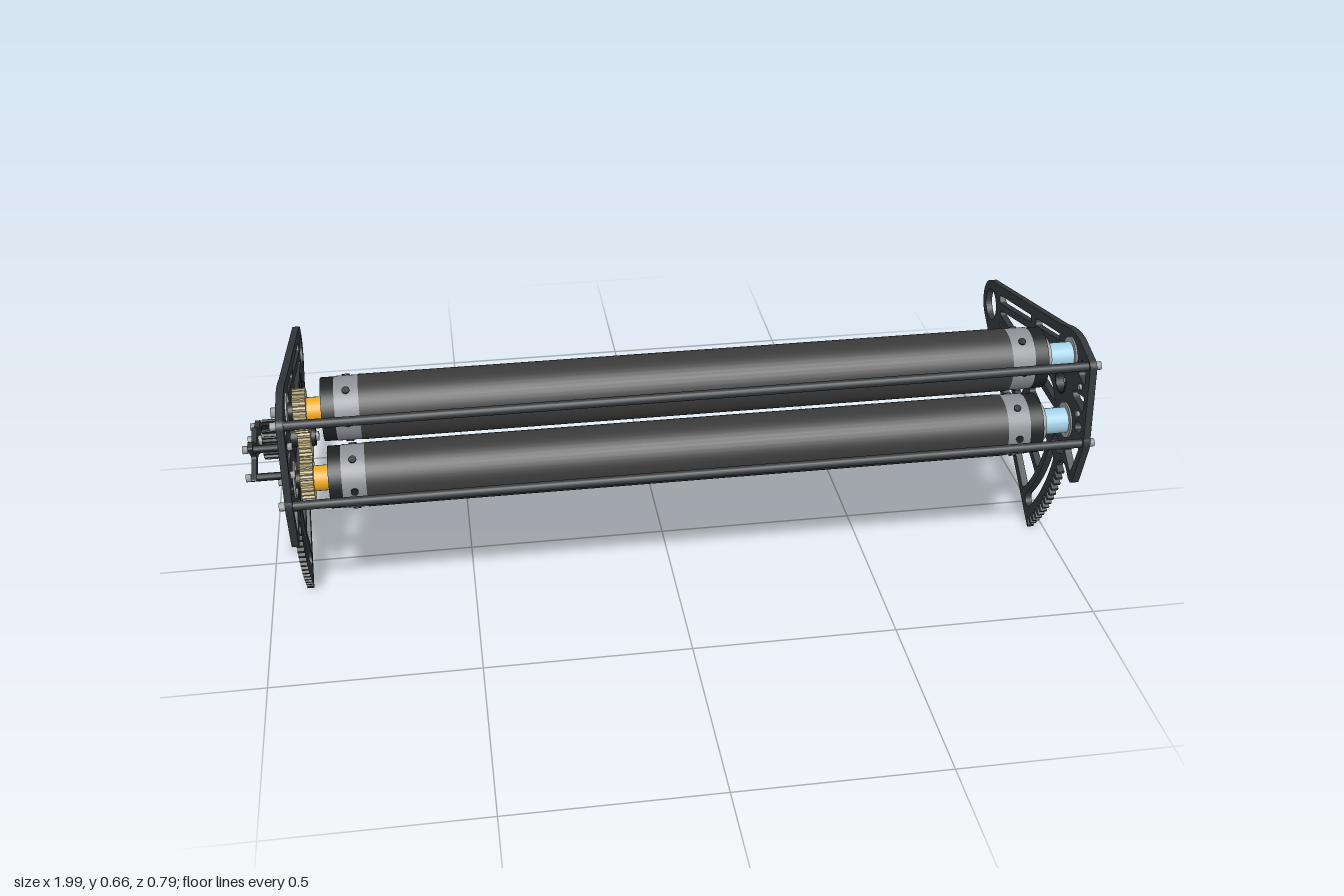
import * as THREE from 'three';

// Plate outlines are drawn in small units (475 per model unit): u runs backward, v runs up.
const S = 1 / 475;
const Z0 = -0.0025;
const RAD = Math.PI / 180;
const UPPER = [-120, 280], LOWER = [-130, 199], IDLER = [-101, 236], HUB = [155, 206];
const RODS = [[-170, 292], [-181, 198]];
const POSTS = [[-160, 260], [-164, 227], [-65, 232]];

const mat = (color) => new THREE.MeshStandardMaterial({ color });
const M = {
  plate: mat(0x33373a), rubber: mat(0x3a3a3a), black: mat(0x1f2122), collar: mat(0x8e8f96),
  steel: mat(0x9a9c9e), brass: mat(0xc0b184), cream: mat(0xd6cdb0), blue: mat(0xa3cfe6), orange: mat(0xf0a820),
};

export function createModel() {
  const model = new THREE.Group();

  function add(parent, name, geo, material) {
    const mesh = new THREE.Mesh(geo, material);
    mesh.name = name;
    parent.add(mesh);
    return mesh;
  }

  // Cylinder along x at a drawing point
  function bar(parent, name, x0, x1, r, [u, v], material, sides = 24) {
    const geo = new THREE.CylinderGeometry(r, r, x1 - x0, sides).rotateZ(Math.PI / 2);
    add(parent, name, geo, material).position.set((x0 + x1) / 2, v * S, Z0 - u * S);
  }

  // Extrude a drawing shape between two x positions
  function slab(parent, name, shape, x0, x1, material) {
    const geo = new THREE.ExtrudeGeometry(shape, { depth: (x1 - x0) / S, bevelEnabled: false, curveSegments: 20 });
    geo.scale(S, S, S).rotateY(Math.PI / 2).translate(x0, 0, Z0);
    add(parent, name, geo, material);
  }

  // Closed polygon with rounded corners
  function rounded(points, r, target = new THREE.Path()) {
    const p = points.map(([x, y]) => new THREE.Vector2(x, y));
    p.forEach((c, i) => {
      const toward = (q) => c.clone().lerp(q, Math.min(0.45, r / c.distanceTo(q)));
      const a = toward(p[(i + p.length - 1) % p.length]), b = toward(p[(i + 1) % p.length]);
      if (i === 0) target.moveTo(a.x, a.y); else target.lineTo(a.x, a.y);
      target.quadraticCurveTo(c.x, c.y, b.x, b.y);
    });
    target.closePath();
    return target;
  }

  function circle([u, v], r, target = new THREE.Path()) {
    target.absarc(u, v, r, 0, Math.PI * 2);
    return target;
  }

  function ring(parent, name, x0, x1, rOuter, rInner, c, material) {
    const shape = circle(c, rOuter / S, new THREE.Shape());
    shape.holes.push(circle(c, rInner / S));
    slab(parent, name, shape, x0, x1, material);
  }

  // Toothed wheel
  function gear(parent, name, x0, x1, r, teeth, [u, v], bore, material) {
    const shape = new THREE.Shape();
    for (let i = 0; i < teeth; i++) {
      [[-0.25, 0.9], [-0.12, 1.06], [0.12, 1.06], [0.25, 0.9]].forEach(([k, f], j) => {
        const a = ((i + k) / teeth) * Math.PI * 2, R = (r * f) / S;
        shape[i + j === 0 ? 'moveTo' : 'lineTo'](u + R * Math.cos(a), v + R * Math.sin(a));
      });
    }
    shape.closePath();
    shape.holes.push(circle([u, v], bore / S));
    slab(parent, name, shape, x0, x1, material);
  }

  // Window between two spokes (angle, offset from hub centre, half width) and two radii
  function sectorWindow([t0, d0, h0], [t1, d1, h1], rIn, rOut) {
    const arc = (r) => [0, 0.33, 0.67, 1].map((k) => {
      const a = t0 * RAD + Math.asin((d0 + h0) / r), b = t1 * RAD + Math.asin((d1 - h1) / r);
      const t = a + (b - a) * k;
      return [HUB[0] - r * Math.cos(t), HUB[1] - r * Math.sin(t)];
    });
    const inner = arc(rIn);
    return rounded([...arc(rOut), inner[3], inner[0]], 4);
  }

  // Side plate: sector with rack teeth, spokes, slot and bearing holes
  function plateShape() {
    const s = new THREE.Path();
    const teeth = 14, from = 224 * RAD, to = 194.5 * RAD;
    s.moveTo(-58, 0);
    for (let i = 0; i < teeth; i++) {
      for (const [k, r] of [[0.1, 295], [0.43, 295], [0.62, 286], [0.92, 286]]) {
        const a = from + ((to - from) * (i + k)) / teeth;
        s.lineTo(HUB[0] + r * Math.cos(a), HUB[1] + r * Math.sin(a));
      }
    }
    s.lineTo(-127, 141);
    s.quadraticCurveTo(-142, 154, -156, 139);
    s.quadraticCurveTo(-168, 130, -173, 143);
    s.lineTo(-188, 194);
    s.quadraticCurveTo(-190, 200, -187, 206);
    s.lineTo(-178, 291);
    s.quadraticCurveTo(-177, 298, -170, 300);
    s.lineTo(-140, 308);
    s.quadraticCurveTo(-118, 313, -82, 299);
    s.absarc(HUB[0], HUB[1], 31, 75.6 * RAD, -52.2 * RAD, true);
    s.closePath();
    // Counter-clockwise outline, so that the window walls face into the windows
    const shape = new THREE.Shape(s.getPoints(20).reverse());

    // Rims and spokes from top to bottom; the curved rib lies between radii 151 and 168
    const spokes = [[-14.4, -25, 5.7], [-15, -4, 4.5], [1.8, 0, 4.7], [12.5, 5.3, 4.8], [26.3, 10.2, 5], [37.8, 25.5, 5.5]];
    for (let i = 0; i < spokes.length - 1; i++) {
      shape.holes.push(sectorWindow(spokes[i], spokes[i + 1], 38, 151));
      if (i !== 1) shape.holes.push(sectorWindow(spokes[i], spokes[i + 1], 168, 248));
    }
    const bracedBay = [
      [[-80, 262], [-29, 253], [-58, 241], [-76, 246]],
      [[-9, 247], [-47, 231], [-14, 210]],
      [[-80, 217], [-60, 223], [-29, 205], [-93, 202]],
    ];
    const frontFrame = [
      [[-167, 281], [-151, 292], [-148, 271], [-158, 267], [-169, 266]],
      [[-172, 253], [-162, 250], [-142, 246], [-138, 241], [-144, 236], [-160, 236], [-174, 232]],
      [[-178, 216], [-166, 220], [-157, 211], [-160, 204], [-174, 206]],
      [[-177, 188], [-161, 189], [-150, 172], [-138, 164], [-162, 146]],
      [[-137, 158], [-104, 166], [-97, 150], [-120, 147]],
    ];
    [...bracedBay, ...frontFrame].forEach((w) => shape.holes.push(rounded(w, 4)));

    // Curved guide slot
    const slot = new THREE.Path(), a0 = 196.5 * RAD, a1 = 220 * RAD, mid = 266, w = 9;
    const end = (a) => [HUB[0] + mid * Math.cos(a), HUB[1] + mid * Math.sin(a)];
    slot.absarc(...HUB, mid + w, a0, a1, false);
    slot.absarc(...end(a1), w, a1, a1 + Math.PI, false);
    slot.absarc(...HUB, mid - w, a1, a0, true);
    slot.absarc(...end(a0), w, a0 + Math.PI, a0 + 2 * Math.PI, false);
    slot.closePath();
    shape.holes.push(slot);

    [[HUB, 20], [UPPER, 21], [LOWER, 21], [IDLER, 15]].forEach(([c, r]) => shape.holes.push(circle(c, r)));
    return shape;
  }

  const plate = plateShape();
  slab(model, 'leftSidePlate', plate, 0.959, 0.976, M.plate);
  slab(model, 'rightSidePlate', plate, -0.918, -0.901, M.plate);

  // Two rollers with collars, shafts, bearings and drive gears
  [['upperRoller', UPPER], ['lowerRoller', LOWER]].forEach(([name, c]) => {
    const g = new THREE.Group();
    g.name = name;
    model.add(g);
    bar(g, 'rollerSleeve', -0.735, 0.79, 0.075, c, M.rubber, 48);
    for (const [x0, x1] of [[-0.79, -0.735], [0.79, 0.845]]) {
      bar(g, 'collar', x0, x1, 0.074, c, M.collar, 48);
      for (let i = 0; i < 6; i++) {
        const a = (i * Math.PI) / 3 + 0.5;
        const screw = add(g, 'collarScrew', new THREE.CylinderGeometry(0.009, 0.009, 0.006, 12), M.black);
        screw.position.set((x0 + x1) / 2, c[1] * S + 0.074 * Math.cos(a), Z0 - c[0] * S + 0.074 * Math.sin(a));
        screw.rotation.x = a;
      }
    }
    bar(g, 'endCap', -0.82, -0.79, 0.073, c, M.black, 48);
    bar(g, 'endCap', 0.845, 0.878, 0.073, c, M.black, 48);
    // Left end: spacer, shaft and bearing
    bar(g, 'spacer', 0.878, 0.895, 0.046, c, M.steel);
    bar(g, 'shaftSleeve', 0.895, 0.955, 0.032, c, M.blue);
    ring(g, 'bearingOuter', 0.955, 0.978, 0.044, 0.033, c, M.steel);
    ring(g, 'bearingInner', 0.955, 0.977, 0.033, 0.021, c, M.cream);
    bar(g, 'bearingHub', 0.955, 0.982, 0.021, c, M.black);
    bar(g, 'shaftBolt', 0.982, 0.993, 0.012, c, M.steel, 6);
    // Right end: shaft, gear and bearing
    bar(g, 'driveSleeve', -0.86, -0.82, 0.03, c, M.orange);
    gear(g, 'driveGear', -0.885, -0.855, 0.049, 24, c, 0.02, M.brass);
    ring(g, 'bearingOuter', -0.92, -0.897, 0.044, 0.033, c, M.steel);
    ring(g, 'bearingInner', -0.919, -0.897, 0.033, 0.021, c, M.cream);
    bar(g, 'bearingHub', -0.925, -0.86, 0.021, c, M.black);
    bar(g, 'shaftBolt', -0.937, -0.925, 0.012, c, M.steel, 6);
  });

  // Idler drive outside the right plate
  const drive = new THREE.Group();
  drive.name = 'idlerDrive';
  model.add(drive);
  gear(drive, 'idlerGear', -0.885, -0.855, 0.049, 24, IDLER, 0.012, M.brass);
  gear(drive, 'outerPulley', -0.965, -0.93, 0.044, 20, IDLER, 0.012, M.black);
  bar(drive, 'idlerHub', -0.93, -0.845, 0.023, IDLER, M.black);
  bar(drive, 'idlerShaft', -1, -0.838, 0.011, IDLER, M.steel);
  const bracket = rounded([
    [-167, 264], [-155, 267], [-125, 246], [-101, 253], [-85, 241], [-59, 238], [-59, 226],
    [-85, 228], [-101, 219], [-125, 231], [-160, 220], [-171, 226], [-140, 239],
  ], 4, new THREE.Shape());
  slab(drive, 'bracket', bracket, -0.988, -0.976, M.plate);
  for (const p of POSTS) {
    bar(drive, 'standoff', -0.976, -0.918, 0.009, p, M.black, 12);
    bar(drive, 'standoffBolt', -1, -0.988, 0.009, p, M.steel, 6);
    bar(drive, 'standoffNut', -0.901, -0.89, 0.009, p, M.steel, 6);
  }
  // Left plate carries matching bolts and an open idler bushing
  POSTS.forEach((p) => bar(model, 'plateBolt', 0.952, 0.981, 0.007, p, M.steel, 12));
  ring(model, 'idlerBushing', 0.957, 0.978, 0.034, 0.03, IDLER, M.black);

  // Front cross rods tying the plates together
  for (const p of RODS) {
    bar(model, 'crossRod', -0.901, 0.959, 0.011, p, M.plate, 16);
    bar(model, 'rodBolt', 0.976, 0.99, 0.01, p, M.steel, 12);
    bar(model, 'rodBolt', -0.932, -0.918, 0.01, p, M.steel, 12);
  }
  return model;
}
